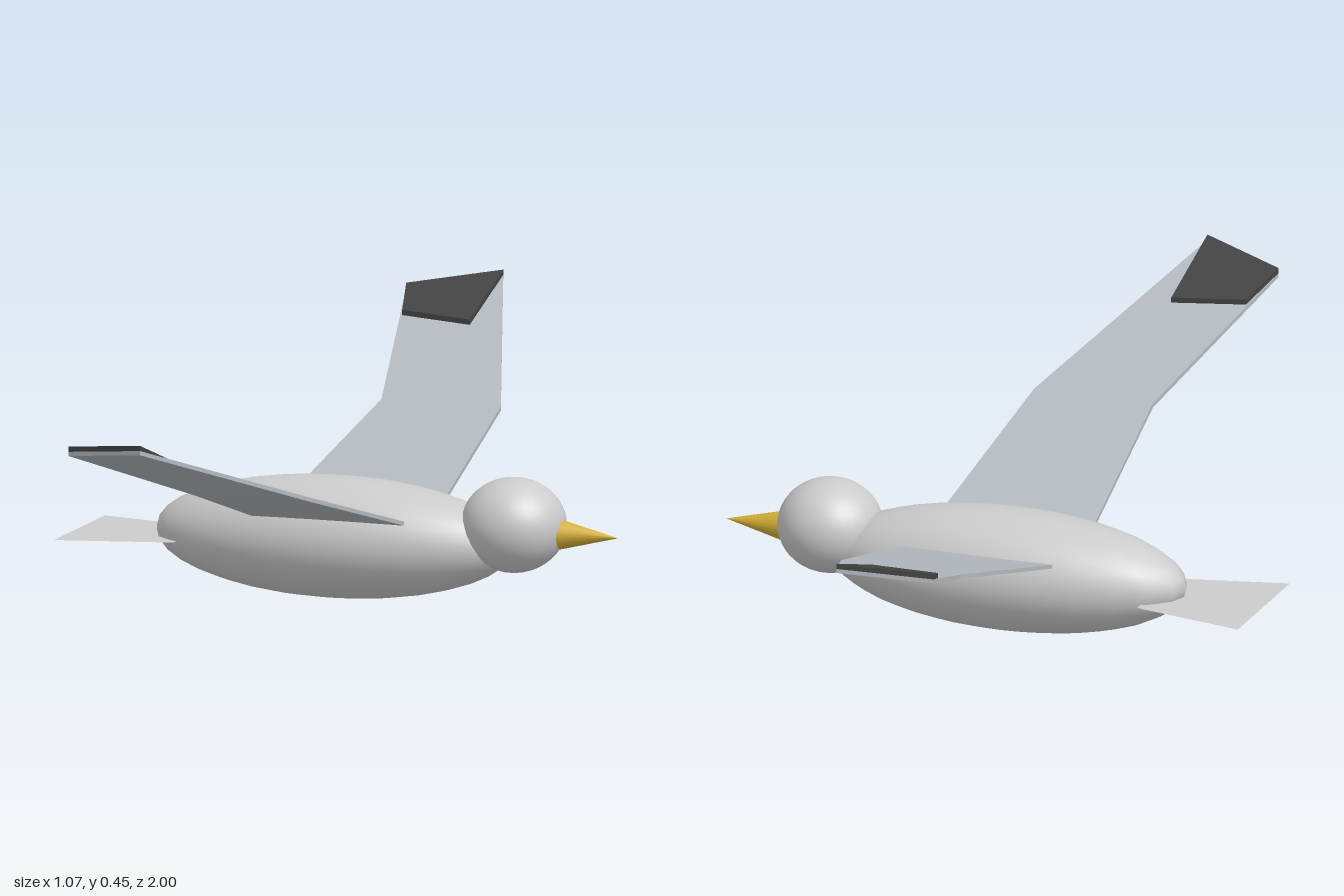
import * as THREE from 'three';

const material = (color, extra = {}) => new THREE.MeshStandardMaterial({ color, ...extra });
const grey = material(0xcccccc);
const wingGrey = material(0xb4bac0);
const dark = material(0x444444);
const gold = material(0xd4af37);

function part(name, geometry, mat) {
  const mesh = new THREE.Mesh(geometry, mat);
  mesh.name = name;
  return mesh;
}

function ellipsoid(name, [x, y, z], [rx, ry, rz], segments) {
  const geometry = new THREE.SphereGeometry(1, segments, segments * 0.75);
  geometry.scale(rx, ry, rz);
  geometry.translate(x, y, z);
  return part(name, geometry, grey);
}

// Underside height of the wing at a given distance from the body axis
function wingHeight(span) {
  return span < 0.52 ? 0.163 + (span - 0.105) * 0.27 : 0.275 + (span - 0.52) * 0.333;
}

// Thin plate with a plan outline of [x, span] points, bent to follow the wing
function wingPlate(name, outline, side, lift, thickness, mat) {
  const shape = new THREE.Shape(outline.map(([x, span]) => new THREE.Vector2(x, -side * span)));
  const geometry = new THREE.ExtrudeGeometry(shape, { depth: thickness, bevelEnabled: false });
  geometry.rotateX(-Math.PI / 2);
  const pos = geometry.attributes.position;
  for (let i = 0; i < pos.count; i++) {
    pos.setY(i, pos.getY(i) + lift + wingHeight(Math.abs(pos.getZ(i))));
  }
  geometry.computeVertexNormals();
  return part(name, geometry, mat);
}

function createWing(name, side) {
  const wing = new THREE.Group();
  wing.name = name;
  const inner = [[-0.157, 0.105], [0.145, 0.105], [0.112, 0.52], [-0.126, 0.52]];
  const outer = [[-0.126, 0.52], [0.112, 0.52], [-0.057, 1], [-0.225, 0.93]];
  const tip = [[-0.197, 0.83], [-0.055, 0.81], [-0.057, 1], [-0.225, 0.93]];
  wing.add(
    wingPlate('innerWing', inner, side, 0, 0.008, wingGrey),
    wingPlate('outerWing', outer, side, 0, 0.008, wingGrey),
    wingPlate('wingTip', tip, side, 0.008, 0.01, dark),
  );
  return wing;
}

export function createModel() {
  const bird = new THREE.Group();
  bird.name = 'bird';

  // Body and head
  bird.add(ellipsoid('body', [-0.03, 0.115, 0], [0.355, 0.115, 0.134], 24));
  bird.add(ellipsoid('head', [0.326, 0.158, 0], [0.1, 0.09, 0.097], 32));

  // Beak pointing along +x
  const beak = new THREE.ConeGeometry(0.028, 0.114, 16);
  beak.rotateZ(-Math.PI / 2);
  beak.translate(0.477, 0.145, 0);
  bird.add(part('beak', beak, gold));

  // Flat flared tail
  const tailShape = new THREE.Shape([[-0.54, -0.14], [-0.32, -0.09], [-0.32, 0.09], [-0.54, 0.14]]
    .map(([x, z]) => new THREE.Vector2(x, z)));
  const tail = new THREE.ShapeGeometry(tailShape);
  tail.rotateX(-Math.PI / 2);
  tail.translate(0, 0.1, 0);
  bird.add(part('tail', tail, material(0xcccccc, { side: THREE.DoubleSide })));

  // Wings
  bird.add(createWing('wingFront', 1), createWing('wingBack', -1));
  return bird;
}
